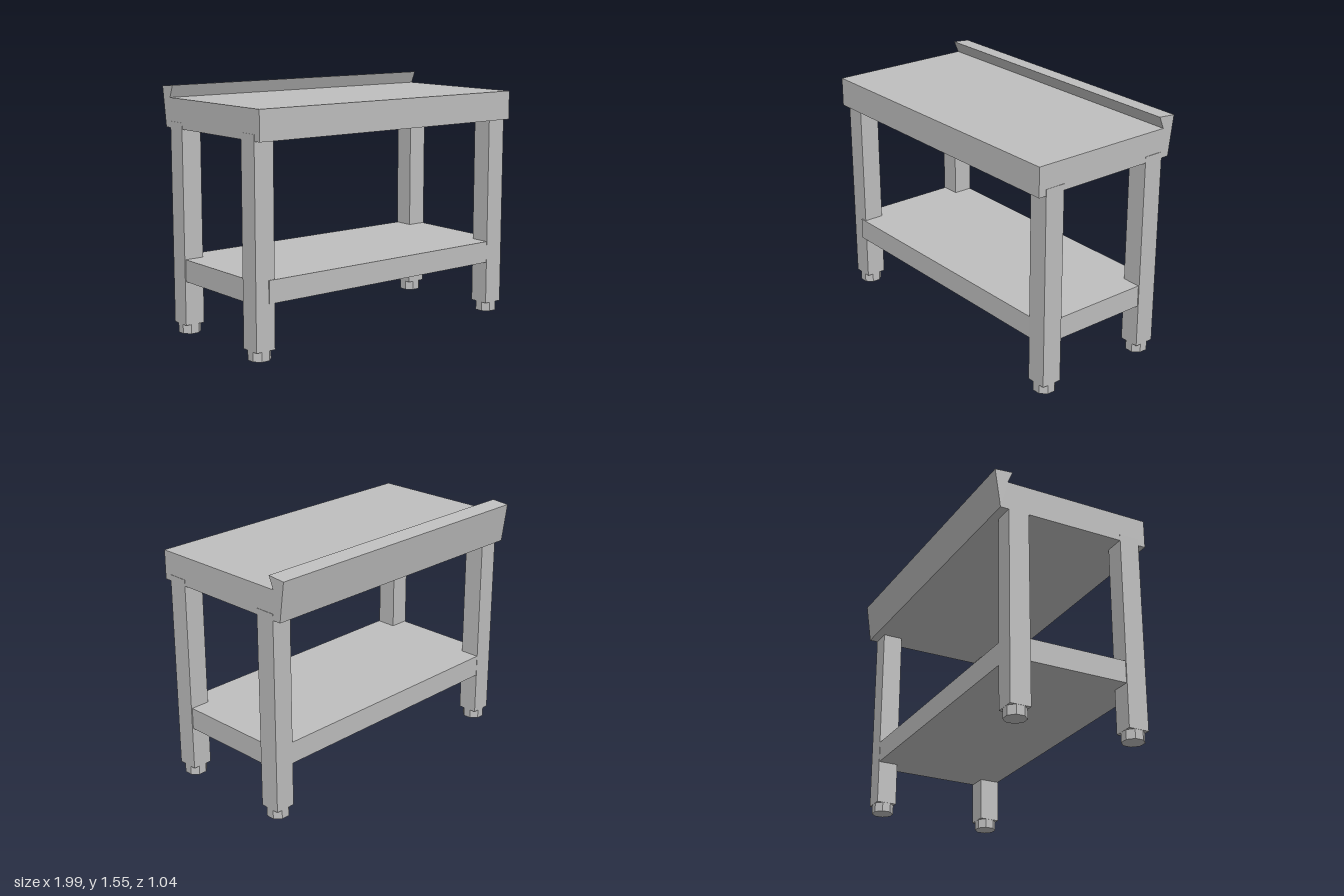
import * as THREE from 'three';

// Extrudes a closed outline given as [a, b] pairs
function extrude(points, depth) {
  const shape = new THREE.Shape(points.map(([a, b]) => new THREE.Vector2(a, b)));
  return new THREE.ExtrudeGeometry(shape, { depth, bevelEnabled: false });
}

export function createModel() {
  const model = new THREE.Group();
  const steel = new THREE.MeshStandardMaterial({ color: 0xbfbfbf });
  steel.name = 'brushed grey';

  const add = (name, geometry, x = 0, y = 0, z = 0, parent = model) => {
    const mesh = new THREE.Mesh(geometry, steel);
    mesh.name = name;
    mesh.position.set(x, y, z);
    parent.add(mesh);
    return mesh;
  };

  // Worktop with rear upstand: side profile (z, y) swept along x
  const worktop = extrude([
    [0.52, 1.29], [0.52, 1.475], [-0.435, 1.475],
    [-0.402, 1.552], [-0.52, 1.542], [-0.485, 1.29],
  ], 1.985);
  worktop.rotateY(-Math.PI / 2).translate(0.9925, 0, 0);
  add('worktop', worktop);

  // Lower shelf: outline (x, z) with corners notched into the legs
  const shelf = extrude([
    [-0.905, 0.476], [0.9, 0.468], [0.9, 0.38], [0.988, 0.38],
    [0.988, -0.33], [0.9, -0.33], [0.9, -0.428], [-0.9, -0.428],
    [-0.9, -0.33], [-0.988, -0.33], [-0.988, 0.38], [-0.905, 0.38],
  ], 0.14);
  shelf.rotateX(Math.PI / 2).translate(0, 0.48, 0);
  add('lowerShelf', shelf);

  // Four square legs on short octagonal feet
  const legGeometry = new THREE.BoxGeometry(0.132, 1.27, 0.132);
  const footGeometry = new THREE.CylinderGeometry(0.07, 0.07, 0.1, 8, 1, false, Math.PI / 8).toNonIndexed();
  footGeometry.computeVertexNormals();
  for (const [end, z] of [['front', 0.404], ['back', -0.364]]) {
    for (const [side, x] of [['Left', 0.929], ['Right', -0.929]]) {
      const leg = new THREE.Group();
      leg.name = `${end}${side}Leg`;
      leg.position.set(x, 0, z);
      add('post', legGeometry, 0, 0.695, 0, leg);
      add('foot', footGeometry, 0, 0.05, 0, leg);
      model.add(leg);
    }
  }

  return model;
}
